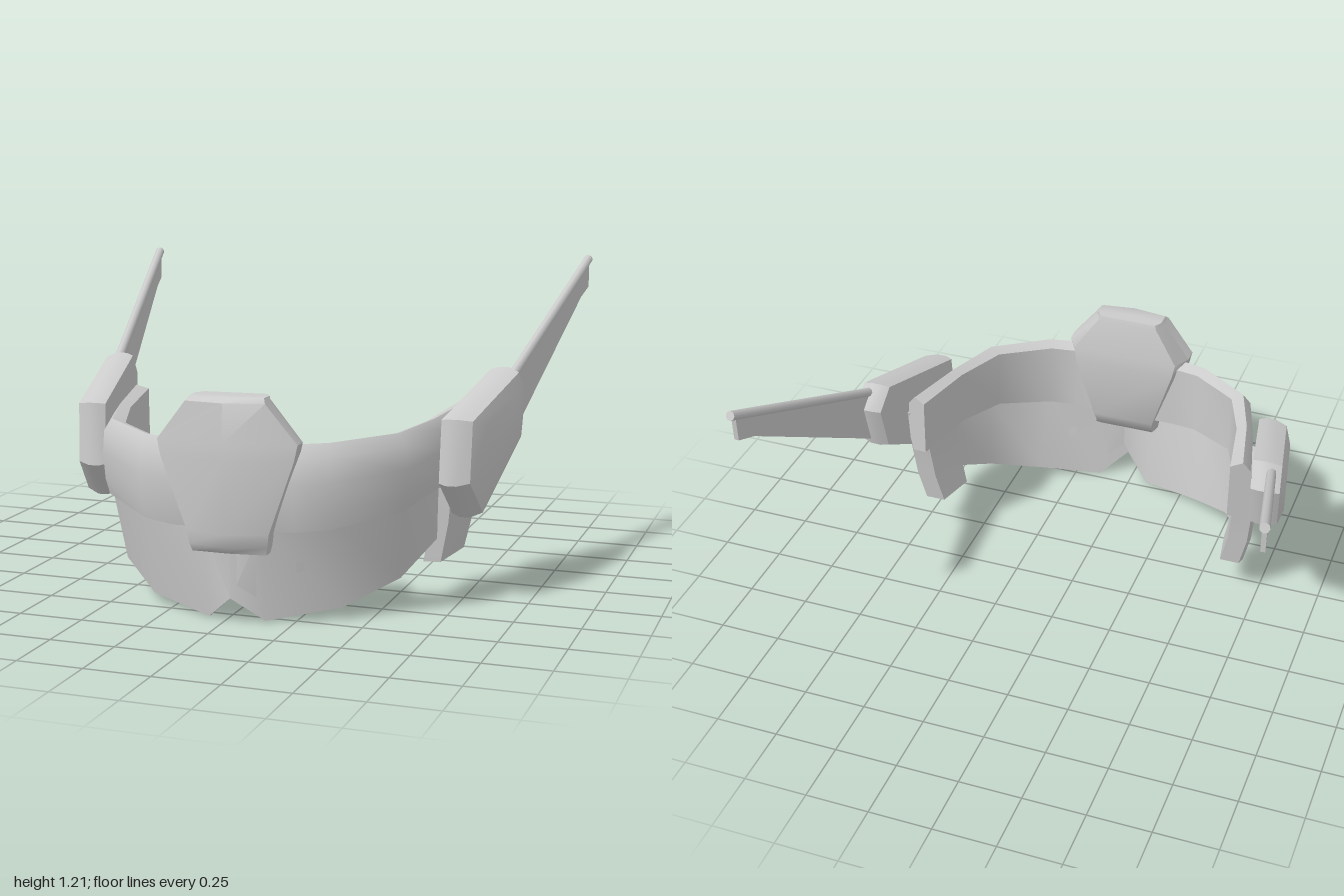
import * as THREE from 'three';
import { toCreasedNormals, mergeVertices } from 'three/addons/utils/BufferGeometryUtils.js';

const material = new THREE.MeshStandardMaterial({ color: 0xcccccc, side: THREE.DoubleSide });

// Skins a row of equal-sized rings of [x, y, z] points and caps both ends.
function loft(name, rings, crease = 0.7) {
  const n = rings[0].length, tris = [];
  for (let i = 0; i < rings.length - 1; i++) {
    for (let j = 0; j < n; j++) {
      const k = (j + 1) % n, a = rings[i][j], b = rings[i][k], c = rings[i + 1][k], d = rings[i + 1][j];
      tris.push([a, b, c], [a, c, d]);
    }
  }
  const middle = (r) => [0, 1, 2].map((c) => r.reduce((s, p) => s + p[c], 0) / n);
  const first = rings[0], last = rings[rings.length - 1];
  const m0 = middle(first), m1 = middle(last);
  for (let j = 0; j < n; j++) {
    const k = (j + 1) % n;
    tris.push([m0, first[k], first[j]], [m1, last[j], last[k]]);
  }
  // Turn the faces outward whatever the ring direction
  let volume = 0;
  const [a, b, c] = [0, 1, 2].map(() => new THREE.Vector3());
  for (const t of tris) {
    a.fromArray(t[0]); b.fromArray(t[1]); c.fromArray(t[2]);
    volume += a.dot(b.cross(c));
  }
  if (volume < 0) tris.forEach((t) => t.reverse());
  const geometry = new THREE.BufferGeometry();
  geometry.setAttribute('position', new THREE.Float32BufferAttribute(tris.flat(2), 3));
  const mesh = new THREE.Mesh(toCreasedNormals(mergeVertices(geometry), crease), material);
  mesh.name = name;
  return mesh;
}

// Completes half a row of stations (first one at x = 0) with its mirror image
const mirrorRow = (half, flip) => [...half.slice(1).reverse().map(flip), ...half];

// Rounded head band: outer x z, inner x z, bottom y, top y
function band() {
  const half = [
    [0, 0.85, 0, 0.75, 0.35, 0.68],
    [0.24, 0.845, 0.22, 0.755, 0.35, 0.67],
    [0.37, 0.805, 0.33, 0.73, 0.36, 0.675],
    [0.6, 0.62, 0.52, 0.58, 0.4, 0.69],
    [0.67, 0.37, 0.6, 0.35, 0.44, 0.705],
    [0.735, 0.08, 0.65, 0.05, 0.46, 0.73],
  ];
  const stations = mirrorRow(half, ([xo, zo, xi, zi, b, t]) => [-xo, zo, -xi, zi, b, t]);
  return loft('headBand', stations.map(([xo, zo, xi, zi, b, t]) => {
    const at = (f, g) => [xi + (xo - xi) * f, b + (t - b) * g, zi + (zo - zi) * f];
    return [at(0, 0.06), at(0, 0.94), at(0.55, 1), at(0.92, 0.85), at(1, 0.55), at(0.92, 0.2), at(0.75, 0)];
  }), 0.9);
}

// Thin visor with a notch over the nose: top point, bottom point
function visor() {
  const half = [
    [[0, 0.37, 0.85], [0, 0.1, 0.865]],
    [[0.12, 0.37, 0.84], [0.11, 0.005, 0.795]],
    [[0.36, 0.39, 0.77], [0.37, 0.045, 0.69]],
    [[0.58, 0.43, 0.59], [0.55, 0.13, 0.53]],
    [[0.645, 0.46, 0.33], [0.64, 0.24, 0.32]],
  ];
  const stations = mirrorRow(half, (s) => s.map(([x, y, z]) => [-x, y, z]));
  const inward = ([x, y, z]) => [x * 0.98, y, z - 0.012];
  return loft('visor', stations.map(([t, b]) => [t, b, inward(b), inward(t)]));
}

// Forehead plate: height, half width, front centre z, front edge z, back z
function foreheadPlate() {
  const rows = [
    [0.27, 0.142, 0.875, 0.865, 0.8],
    [0.3, 0.15, 0.91, 0.875, 0.77],
    [0.35, 0.158, 0.922, 0.88, 0.745],
    [0.62, 0.255, 0.928, 0.875, 0.73],
    [0.68, 0.268, 0.924, 0.87, 0.735],
    [0.825, 0.152, 0.905, 0.88, 0.762],
    [0.842, 0.142, 0.88, 0.86, 0.768],
  ];
  return loft('foreheadPlate', rows.map(([y, w, zc, zs, zb]) => [
    [0, y, zc], [w, y, zs], [w, y, zs - 0.06], [w * 0.85, y, zb],
    [-w * 0.85, y, zb], [-w, y, zs - 0.06], [-w, y, zs],
  ]), 0.8);
}

// Six-sided temple pod, bevelled towards its outer face
function templePod(s) {
  const outline = [[0.43, 0.715], [-0.05, 0.842], [-0.125, 0.755], [-0.08, 0.565], [0.325, 0.325], [0.455, 0.47]];
  const layers = [[0, 0.96], [0.03, 1], [0.07, 1], [0.115, 0.93], [0.137, 0.62]];
  return loft('templePod', layers.map(([out, f]) => outline.map(([z, y]) => {
    const pz = 0.17 + (z - 0.17) * f, py = 0.61 + (y - 0.61) * f;
    return [s * (0.67 + (0.455 - pz) * 0.175 + out), py, pz];
  })), 0.6);
}

// Cheek tab hanging from the end of the band: y front/back, z front/back, x shift
function cheekTab(s) {
  const rows = [
    [0.64, 0.64, 0.33, 0.075, 0.02],
    [0.46, 0.46, 0.335, 0.11, 0.015],
    [0.3, 0.3, 0.335, 0.13, 0],
    [0.145, 0.17, 0.335, 0.145, -0.03],
  ];
  return loft('cheekTab', rows.map(([yf, yb, zf, zb, dx]) => [
    [s * (0.615 + dx), yf, zf], [s * (0.68 + dx), yf, zf - 0.01],
    [s * (0.735 + dx), yb, zb + 0.03], [s * (0.725 + dx), yb, zb], [s * (0.645 + dx), yb, zb],
  ]));
}

// Swept-back fin: a thin blade hung under a slim rod
function fin(s) {
  const group = new THREE.Group();
  group.name = 'fin';
  const bladeX = (z) => 0.83 - (z + 0.03) * 0.18;
  const outline = [[-0.02, 0.79], [-0.89, 1.185], [-0.885, 1.07], [-0.86, 1.075], [-0.02, 0.55]];
  group.add(loft('finBlade', [-0.009, 0.009].map((d) => outline.map(([z, y]) => [s * (bladeX(z) + d), y, z]))));

  const from = new THREE.Vector3(s * bladeX(-0.03), 0.79, -0.03);
  const to = new THREE.Vector3(s * bladeX(-0.905), 1.187, -0.905);
  const rod = new THREE.Mesh(new THREE.CylinderGeometry(0.019, 0.019, from.distanceTo(to), 8), material);
  rod.name = 'finRod';
  rod.position.copy(from).lerp(to, 0.5);
  rod.quaternion.setFromUnitVectors(new THREE.Vector3(0, 1, 0), to.clone().sub(from).normalize());
  group.add(rod);
  return group;
}

export function createModel() {
  const headgear = new THREE.Group();
  headgear.name = 'headgear';
  headgear.add(band(), visor(), foreheadPlate());
  for (const s of [1, -1]) {
    const side = new THREE.Group();
    side.name = s > 0 ? 'leftSide' : 'rightSide';
    side.add(templePod(s), cheekTab(s), fin(s));
    headgear.add(side);
  }
  // The headgear sits with a slight turn and tilt
  headgear.rotation.set(0, 0.016, 0.013);
  headgear.position.x = 0.02;

  const model = new THREE.Group();
  model.name = 'visorHeadgear';
  model.add(headgear);
  return model;
}
